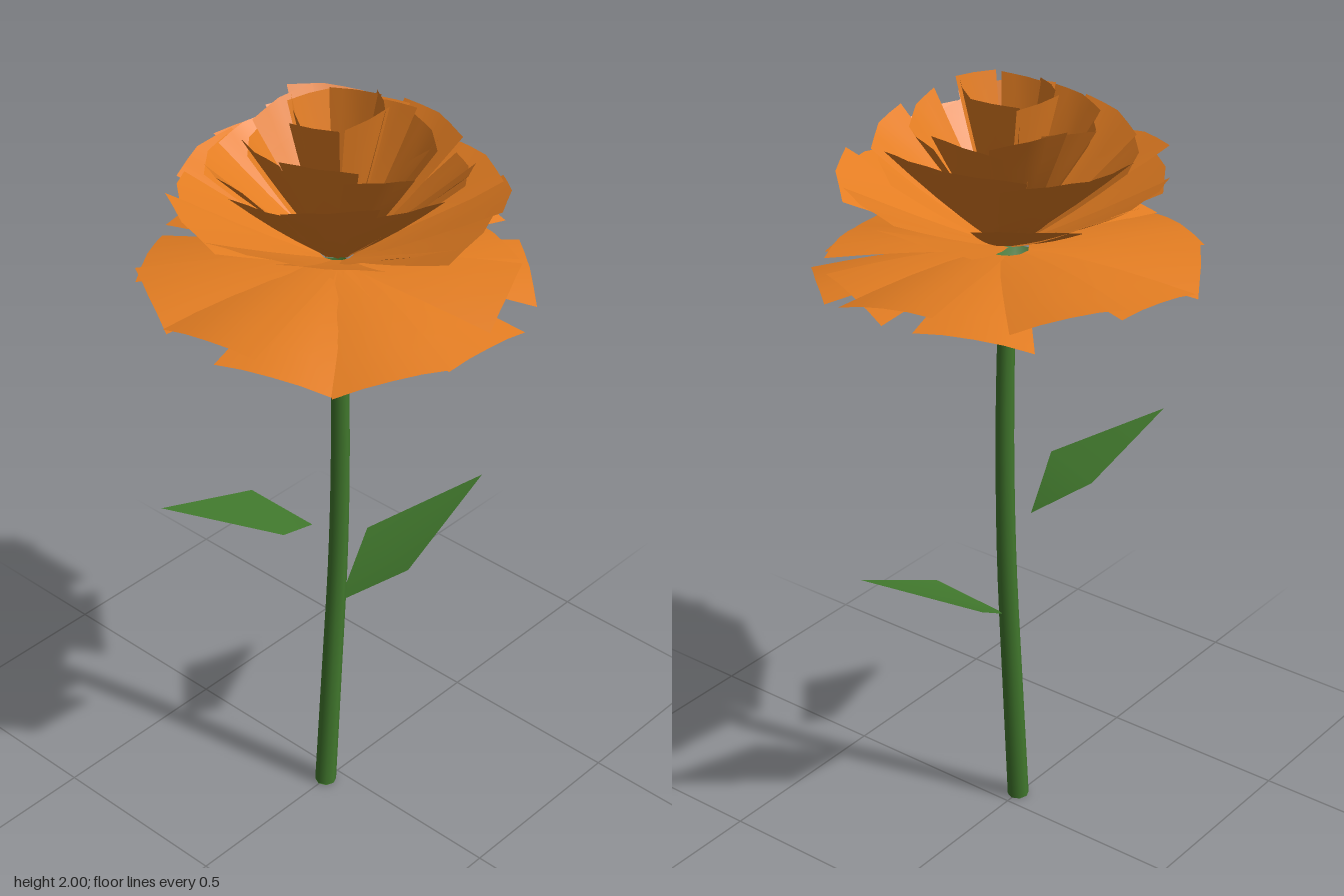
import * as THREE from 'three';

const petalOrange = new THREE.MeshStandardMaterial({ color: 0xe37d22, side: THREE.DoubleSide });
petalOrange.name = 'petal orange';
const stemGreen = new THREE.MeshStandardMaterial({ color: 0x41782d, side: THREE.DoubleSide });
stemGreen.name = 'stem green';

// small seeded jitter in -1..1
let seed = 7;
function jitter() {
  seed = (seed * 16807) % 2147483647;
  return (seed / 2147483647) * 2 - 1;
}

function part(name, geometry, material) {
  const mesh = new THREE.Mesh(geometry, material);
  mesh.name = name;
  return mesh;
}

// wedge-shaped petal along +x: narrow base, broad tip with a slight point,
// edges bent by cup, one side raised by roll
function petalGeometry({ r0, y0, r1, y1, w0, w1, cup, sag, point, roll }) {
  const g = new THREE.PlaneGeometry(1, 1, 4, 4);
  const p = g.attributes.position;
  for (let i = 0; i < p.count; i++) {
    const t = p.getX(i) + 0.5;
    const s = p.getY(i) * 2; // -1..1 across
    const width = THREE.MathUtils.lerp(w0, w1, Math.pow(t, 0.85)) / 2;
    const tip = point * (1 - Math.abs(s)) * t;
    const r = THREE.MathUtils.lerp(r0, r1, t) + tip;
    const y = THREE.MathUtils.lerp(y0, y1, t) - sag * Math.sin(Math.PI * t);
    p.setXYZ(i, r, y + (cup * s * s + roll * s) * t, -s * width);
  }
  g.computeVertexNormals();
  return g;
}

// diamond leaf from base, side, tip, side, with its midrib sunk by fold
function leafGeometry(base, sideA, tip, sideB, fold) {
  const mid = sideA.map((v, i) => (v + sideB[i]) / 2);
  mid[1] -= fold;
  const g = new THREE.BufferGeometry();
  g.setAttribute('position', new THREE.Float32BufferAttribute([base, sideA, tip, sideB, mid].flat(), 3));
  g.setIndex([0, 1, 4, 1, 2, 4, 2, 3, 4, 3, 0, 4]);
  g.computeVertexNormals();
  return g;
}

export function createModel() {
  seed = 7;
  const flower = new THREE.Group();
  flower.name = 'flower';

  // gently bent, tapering stem
  const curve = new THREE.CatmullRomCurve3([
    [-0.046, 0.003], [-0.022, 0.35], [0.004, 0.75], [0.011, 1.1], [0.004, 1.4], [-0.004, 1.56],
  ].map(([x, y]) => new THREE.Vector3(x, y, 0)));
  const stem = new THREE.TubeGeometry(curve, 16, 0.028, 8, false);
  const sp = stem.attributes.position;
  for (let i = 0; i < sp.count; i++) {
    const t = Math.floor(i / 9) / 16;
    const c = curve.getPointAt(t);
    const k = 1 - 0.25 * t;
    sp.setXYZ(i, c.x + (sp.getX(i) - c.x) * k, sp.getY(i), sp.getZ(i) * k);
  }
  flower.add(part('stem', stem, stemGreen));
  const cap = part('stemEnd', new THREE.CircleGeometry(0.028, 8), stemGreen);
  cap.rotation.x = Math.PI / 2;
  cap.position.set(-0.046, 0.003, 0);
  flower.add(cap);

  // flared cup under the bloom
  const calyx = part('calyx', new THREE.LatheGeometry([
    new THREE.Vector2(0.0, -0.06), new THREE.Vector2(0.025, -0.058),
    new THREE.Vector2(0.058, -0.015), new THREE.Vector2(0.08, 0.03),
  ], 7), stemGreen);
  calyx.position.set(-0.03, 1.53, 0);
  calyx.rotation.z = 0.12;
  flower.add(calyx);

  // two leaves
  flower.add(part('upperLeaf', leafGeometry(
    [-0.07, 0.85, -0.02], [-0.155, 0.94, -0.145], [-0.45, 1.035, -0.157], [-0.235, 0.937, 0.04], 0), stemGreen));
  flower.add(part('lowerLeaf', leafGeometry(
    [0.003, 0.58, 0.005], [0.115, 0.685, 0.138], [0.41, 0.825, 0.13], [0.175, 0.69, -0.055], 0.012), stemGreen));

  // flat outer ring: [angle from +x toward +z in degrees, tip height, roll]
  const outerShape = { r0: 0.05, y0: 1.59, r1: 0.452, w0: 0.065, w1: 0.275, cup: -0.012, sag: -0.006, point: 0.004 };
  const outerRing = new THREE.Group();
  outerRing.name = 'outerPetalRing';
  [[0, 1.595, 0.025], [42, 1.54, 0.012], [89, 1.535, -0.012], [122, 1.535, 0.015], [156, 1.54, -0.015],
    [177, 1.585, 0.015], [209, 1.575, -0.01], [237, 1.56, 0.015], [273, 1.58, -0.015], [305, 1.605, 0.012],
    [332, 1.56, -0.015], [22, 1.56, -0.012], [66, 1.575, 0.015]].forEach(([angle, y1, roll], i) => {
    const r1 = i < 11 ? outerShape.r1 : 0.41; // the last two sit tucked between their neighbours
    const petal = part('outerPetal', petalGeometry({ ...outerShape, r1, y1, roll }), petalOrange);
    petal.rotation.y = -THREE.MathUtils.degToRad(angle);
    outerRing.add(petal);
  });
  flower.add(outerRing);

  // rising tiers toward the upright heart
  const tiers = [
    { name: 'lowerPetal', count: 12, turn: 0.2, wobble: 0.028, r0: 0.04, y0: 1.61, r1: 0.365, y1: 1.772, w0: 0.05, w1: 0.25, cup: -0.008, sag: 0.004, point: 0.02, twist: 0.022 },
    { name: 'middlePetal', count: 11, turn: 0.45, wobble: 0.03, r0: 0.035, y0: 1.615, r1: 0.285, y1: 1.85, w0: 0.05, w1: 0.22, cup: -0.006, sag: 0.006, point: 0.018, twist: 0.022 },
    { name: 'upperPetal', count: 9, turn: 0.1, wobble: 0.028, r0: 0.03, y0: 1.625, r1: 0.2, y1: 1.912, w0: 0.05, w1: 0.18, cup: -0.004, sag: 0.006, point: 0.014, twist: 0.018 },
    { name: 'heartPetal', count: 6, turn: 0.3, wobble: 0.012, r0: 0.025, y0: 1.64, r1: 0.1, y1: 1.985, w0: 0.04, w1: 0.13, cup: 0, sag: 0.008, point: 0.006, twist: 0.008 },
  ];
  for (const tier of tiers) {
    const ring = new THREE.Group();
    ring.name = tier.name + 'Ring';
    for (let i = 0; i < tier.count; i++) {
      const shape = {
        ...tier,
        y1: tier.y1 + tier.wobble * jitter(),
        r1: tier.r1 * (1 + 0.05 * jitter()),
        roll: tier.twist * jitter(),
      };
      const petal = part(tier.name, petalGeometry(shape), petalOrange);
      petal.rotation.y = tier.turn + (i / tier.count) * Math.PI * 2 + 0.1 * jitter();
      ring.add(petal);
    }
    flower.add(ring);
  }

  // round centre
  const centre = part('centre', new THREE.SphereGeometry(0.035, 8, 6), petalOrange);
  centre.position.y = 1.67;
  flower.add(centre);

  return flower;
}
